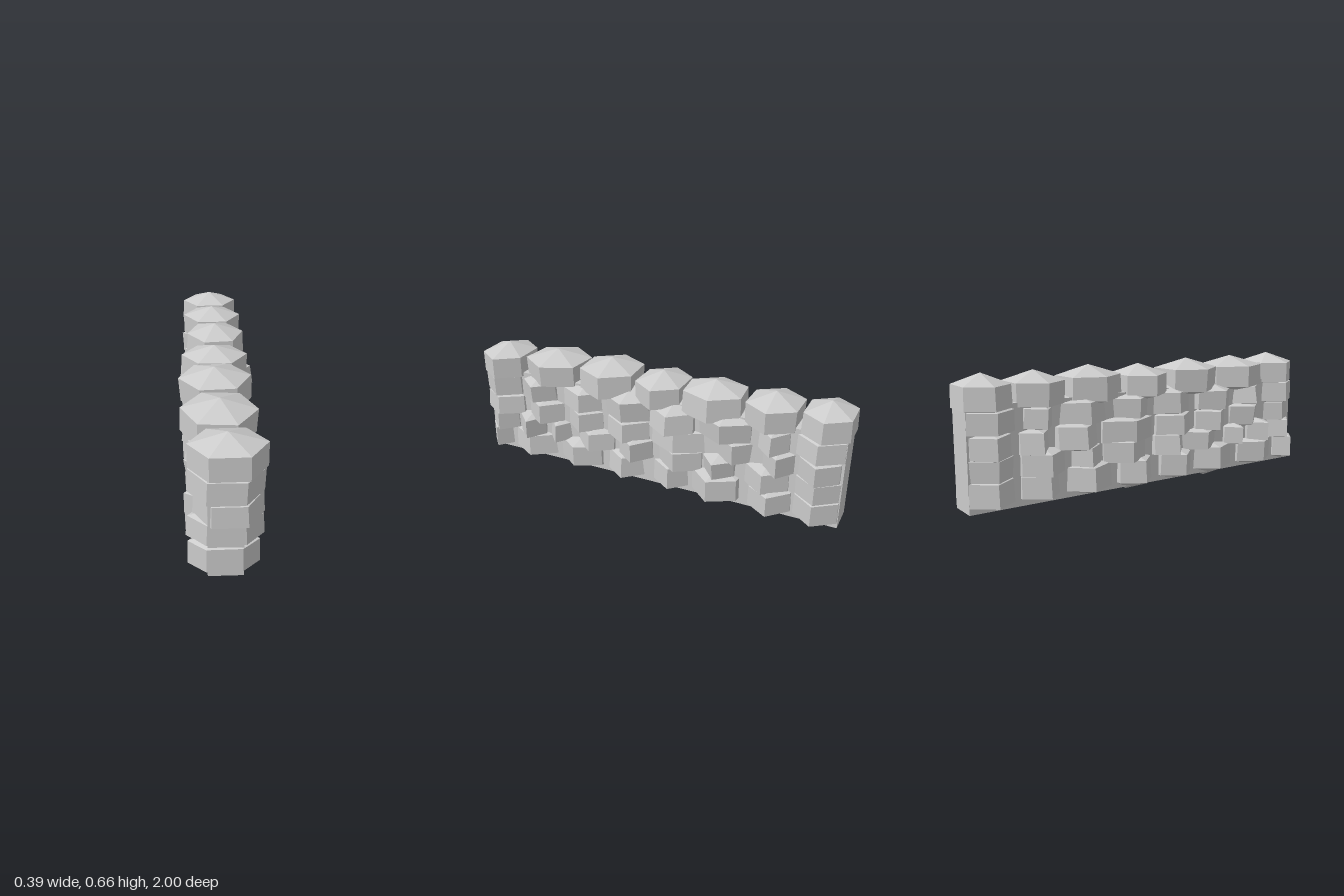
import * as THREE from 'three';

const material = new THREE.MeshStandardMaterial({ color: 0xcccccc, flatShading: true });

// Courses of stones, bottom to top: ring heights, half width, cone heights, lean, and for every stone
// [z start, z end, optional sideways shift, optional change of lower cone]
const courses = [
  { name: 'footingStone', y0: 0.07, y1: 0.18, rx: 0.17, down: 0.05, up: 0.04, lean: 0.08, spans: [
    [1, 0.86, -0.006, -0.01], [0.84, 0.57], [0.54, 0.27, 0, 0.018], [0.25, 0.03], [-0.01, -0.23, 0, 0.01],
    [-0.24, -0.51], [-0.53, -0.76, 0, -0.012], [-0.77, -0.99, 0, -0.012]] },
  { name: 'lowerStone', y0: 0.185, y1: 0.28, rx: 0.17, down: 0.03, up: 0.035, lean: 0.12, spans: [
    [0.98, 0.81], [0.8, 0.63], [0.61, 0.47], [0.42, 0.2], [0.19, -0.02], [-0.05, -0.3], [-0.3, -0.48],
    [-0.52, -0.74], [-0.77, -0.985]] },
  { name: 'middleStone', y0: 0.285, y1: 0.385, rx: 0.168, down: 0.035, up: 0.035, lean: 0.15, spans: [
    [1, 0.76, 0.012], [0.73, 0.51], [0.48, 0.27], [0.25, 0], [-0.01, -0.31], [-0.34, -0.57, -0.025],
    [-0.59, -0.76], [-0.78, -0.98]] },
  { name: 'upperStone', y0: 0.395, y1: 0.495, rx: 0.166, down: 0.03, up: 0.05, lean: 0.15, spans: [
    [1, 0.77], [0.75, 0.55], [0.52, 0.26], [0.25, 0], [-0.01, -0.25, 0.02], [-0.27, -0.54], [-0.57, -0.73],
    [-0.76, -0.99]] },
  { name: 'capStone', y0: 0.5, y1: 0.608, rx: 0.164, down: 0.04, up: 0.05, lean: 0.06, spans: [
    [1, 0.76, 0.008], [0.74, 0.42], [0.41, 0.11], [0.08, -0.16], [-0.17, -0.48], [-0.5, -0.75, 0.008], [-0.77, -1]] },
];

let seed = 11;
function jitter(amount) {
  seed = (seed * 16807) % 2147483647;
  return (seed / 2147483647 * 2 - 1) * amount;
}

// Six-sided block with a shallow cone above and below, stretched to fill its span of the wall
function makeStone(course, [zA, zB, shift = 0, deeper = 0]) {
  const atEnd = Math.max(Math.abs(zA), Math.abs(zB)) > 0.97;
  const loose = atEnd ? 0.4 : 1;
  const y0 = course.y0 + jitter(0.006) * loose;
  const y1 = course.y1 + jitter(0.006) * loose;
  const taper = jitter(0.04);
  const profile = [
    [0, y0 - course.down - deeper], [1 - Math.max(taper, 0), y0],
    [1 + Math.min(taper, 0), y1], [0, y1 + course.up],
  ].map(([r, y]) => new THREE.Vector2(r, y));
  const geometry = new THREE.LatheGeometry(profile, 6, Math.PI / 2);

  // Fit the span, allowing for the slight turn about the upright axis
  const rx = course.rx - (atEnd ? 0.008 : 0) + jitter(0.01);
  const turn = jitter(atEnd ? 0.02 : 0.12);
  const halfLength = Math.abs(zA - zB) / 2 - Math.abs(Math.sin(turn)) * rx / 2;
  geometry.scale(rx, 1, halfLength / Math.sin(Math.PI / 3));
  geometry.rotateY(turn);

  // Sideways lean
  const lean = jitter(course.lean) * loose;
  const middle = (y0 + y1) / 2;
  const p = geometry.attributes.position;
  for (let i = 0; i < p.count; i++) p.setX(i, p.getX(i) + (p.getY(i) - middle) * lean);

  const flat = geometry.toNonIndexed();
  flat.computeVertexNormals();
  const stone = new THREE.Mesh(flat, material);
  stone.name = course.name;
  stone.position.set(shift + jitter(0.012) * loose, 0, (zA + zB) / 2);
  return stone;
}

export function createModel() {
  const wall = new THREE.Group();
  wall.name = 'stoneWall';

  // Plain slab that fills the gaps between the stones
  const core = new THREE.Mesh(new THREE.BoxGeometry(0.15, 0.48, 1.98), material);
  core.name = 'wallCore';
  core.position.y = 0.28;
  wall.add(core);

  for (const course of courses) {
    const row = new THREE.Group();
    row.name = course.name + 'Row';
    for (const span of course.spans) row.add(makeStone(course, span));
    wall.add(row);
  }
  return wall;
}
